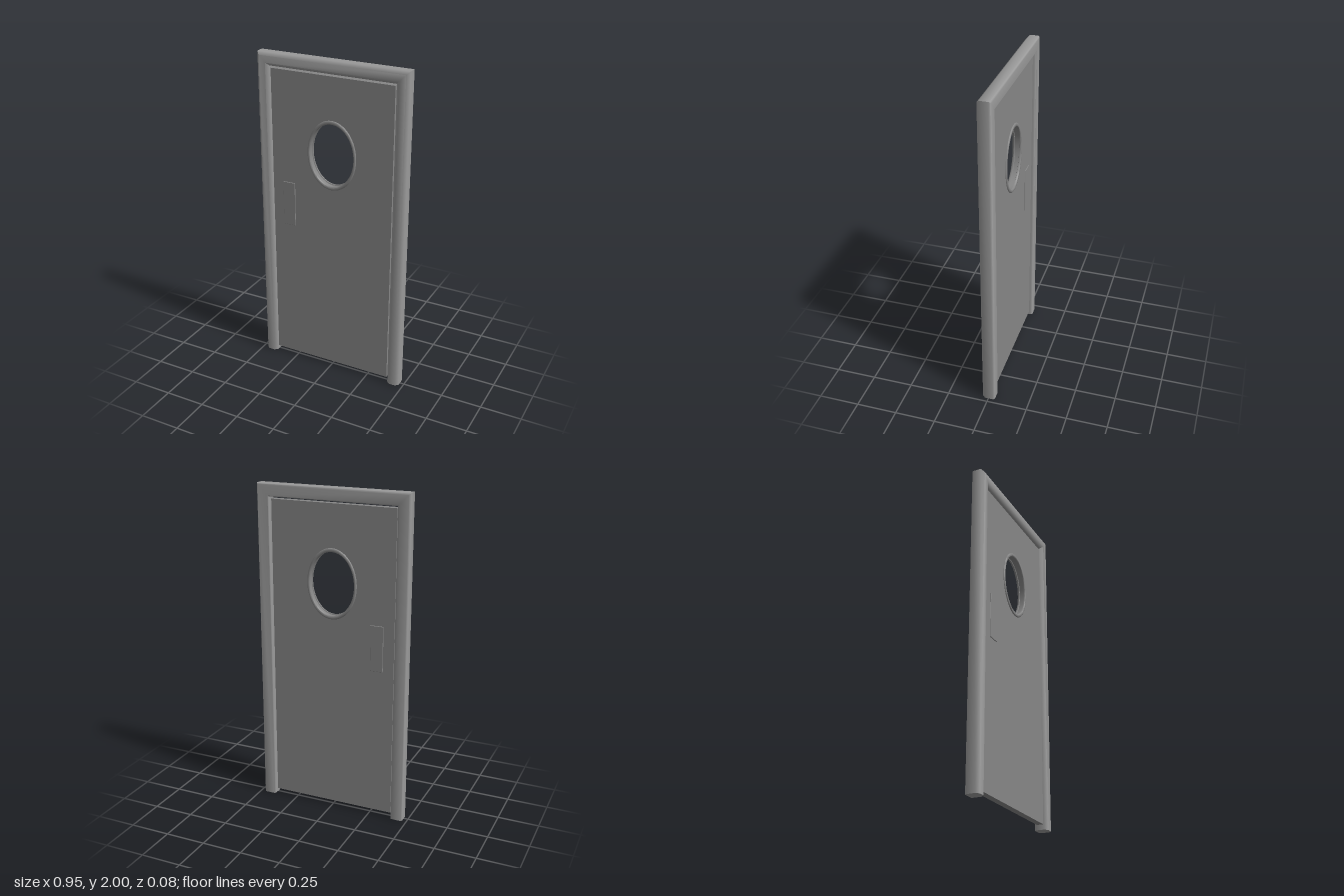
import * as THREE from 'three';
import { toCreasedNormals } from 'three/addons/utils/BufferGeometryUtils.js';

const frameMaterial = new THREE.MeshStandardMaterial({ color: 0x9a9a9a });
const doorMaterial = new THREE.MeshStandardMaterial({ color: 0x868686 });
const HALF_WIDTH = 0.473, HEIGHT = 2;
const WINDOW_X = 0.003, WINDOW_Y = 1.44, OVAL = 0.737; // oval width / height

function addMesh(parent, name, geometry, material) {
  const mesh = new THREE.Mesh(geometry, material);
  mesh.name = name;
  parent.add(mesh);
  return mesh;
}

// Frame section: u runs from the outer edge inwards, z from back to front; counter-clockwise.
// The back corners are rounded, the front ones chamfered.
function frameSection() {
  const w = 0.077, d = 0.04, back = 0.012, front = 0.018;
  const corners = [
    [w - back, -d + back, back, -Math.PI / 2, 3],
    [w - front, d - front, front, 0, 1],
    [front, d - front, front, Math.PI / 2, 1],
    [back, -d + back, back, Math.PI, 3],
  ];
  const points = [];
  for (const [u, z, r, start, steps] of corners) {
    for (let i = 0; i <= steps; i++) {
      const a = start + (i / steps) * Math.PI / 2;
      points.push([u + r * Math.cos(a), z + r * Math.sin(a)]);
    }
  }
  return points;
}

// One piece swept up, across and down, with mitred top corners
function frameGeometry() {
  const section = frameSection(), n = section.length;
  const stations = [
    (u, z) => [-HALF_WIDTH + u, 0, z],
    (u, z) => [-HALF_WIDTH + u, HEIGHT - u, z],
    (u, z) => [HALF_WIDTH - u, HEIGHT - u, z],
    (u, z) => [HALF_WIDTH - u, 0, z],
  ];
  const positions = [];
  const put = (s, k) => positions.push(...stations[s](...section[k % n]));
  for (let s = 0; s < 3; s++) {
    for (let k = 0; k < n; k++) {
      put(s, k); put(s + 1, k); put(s + 1, k + 1);
      put(s, k); put(s + 1, k + 1); put(s, k + 1);
    }
  }
  // Feet of the two jambs
  for (let k = 1; k < n - 1; k++) {
    put(0, 0); put(0, k); put(0, k + 1);
    put(3, 0); put(3, k + 1); put(3, k);
  }
  const geometry = new THREE.BufferGeometry();
  geometry.setAttribute('position', new THREE.Float32BufferAttribute(positions, 3));
  return toCreasedNormals(geometry, 0.85);
}

function rectangle(x0, y0, x1, y1) {
  return new THREE.Shape([
    new THREE.Vector2(x0, y0), new THREE.Vector2(x1, y0),
    new THREE.Vector2(x1, y1), new THREE.Vector2(x0, y1),
  ]);
}

// Door leaf with an oval opening
function leafGeometry() {
  const shape = rectangle(-0.39, 0.03, 0.388, 1.91);
  const hole = new THREE.Path();
  hole.absellipse(WINDOW_X, WINDOW_Y, 0.203 * OVAL, 0.203, 0, Math.PI * 2, true);
  shape.holes.push(hole);
  const geometry = new THREE.ExtrudeGeometry(shape, { depth: 0.04, bevelEnabled: false, curveSegments: 48 });
  geometry.translate(0, 0, -0.02);
  return toCreasedNormals(geometry, 0.6);
}

// Oval trim: a rounded rim on both faces with a recessed lining between them
function trimGeometry() {
  const half = [[0.213, 0.02], [0.212, 0.024], [0.208, 0.027], [0.196, 0.027],
    [0.192, 0.025], [0.19, 0.021], [0.19, 0.014], [0.196, 0.012]];
  const profile = [
    ...half,
    ...half.map(([r, z]) => [r, -z]).reverse(),
  ];
  profile.push(profile[0]);
  const geometry = new THREE.LatheGeometry(profile.map(([r, z]) => new THREE.Vector2(r, z)), 64);
  geometry.rotateX(Math.PI / 2);
  geometry.scale(OVAL, 1, 1);
  return toCreasedNormals(geometry, 0.8);
}

// Thin push plate with a small bevel
function plateGeometry() {
  const b = 0.002;
  return new THREE.ExtrudeGeometry(rectangle(-0.04 + b, -0.14 + b, 0.04 - b, 0.14 - b),
    { depth: 0.002, bevelEnabled: true, bevelSize: b, bevelThickness: b, bevelSegments: 1 });
}

export function createModel() {
  const model = new THREE.Group();
  model.name = 'swingDoor';

  addMesh(model, 'doorFrame', frameGeometry(), frameMaterial);

  const door = new THREE.Group();
  door.name = 'door';
  model.add(door);
  addMesh(door, 'doorLeaf', leafGeometry(), doorMaterial);
  addMesh(door, 'windowTrim', trimGeometry(), doorMaterial).position.set(WINDOW_X, WINDOW_Y, 0);

  // Push plates on both faces, near the same edge
  for (const side of [1, -1]) {
    const plate = addMesh(door, side > 0 ? 'frontPushPlate' : 'backPushPlate', plateGeometry(), doorMaterial);
    plate.position.set(-0.283, 1.083, side * 0.02);
    if (side < 0) plate.rotation.y = Math.PI;
  }
  return model;
}
